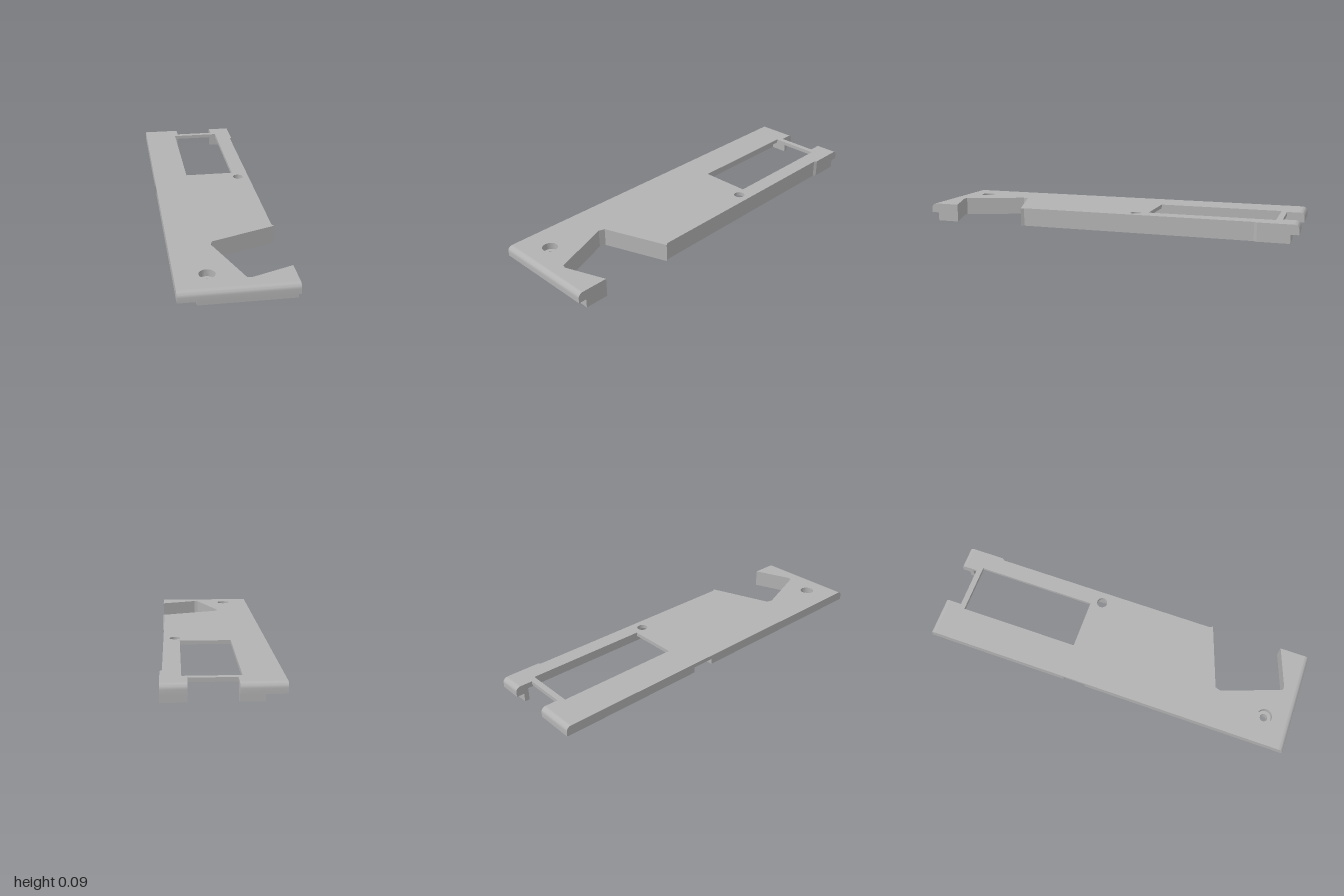
import * as THREE from 'three';
import { toCreasedNormals } from 'three/addons/utils/BufferGeometryUtils.js';

const TOP = 0.095, UNDER = 0.075, LIP = 0.045;

export function createModel() {
  const model = new THREE.Group();
  const grey = new THREE.MeshStandardMaterial({ color: 0xb2b2b2 });
  grey.name = 'plain grey';

  const add = (name, geometry) => {
    const mesh = new THREE.Mesh(geometry, grey);
    mesh.name = name;
    model.add(mesh);
    return mesh;
  };
  const outline = (pts) => new THREE.Shape(pts.map(([a, b]) => new THREE.Vector2(a, b)));
  // Extrude an (x, z) outline between two heights
  const slab = (shape, y0, y1) => {
    const g = new THREE.ExtrudeGeometry(shape, { depth: y1 - y0, bevelEnabled: false, curveSegments: 16 });
    return g.rotateX(Math.PI / 2).translate(0, y1, 0);
  };
  const circle = (x, z, r) => new THREE.Path().absarc(x, z, r, 0, Math.PI * 2, true);

  // Top plate with window, screw hole, pin hole and angled side notch
  const plate = outline([
    [-0.275, -0.975], [-0.07, -0.975], [-0.07, -0.91], [0.15, -0.91], [0.15, -0.975],
    [0.27, -0.975], [0.27, -0.8], [0.26, -0.785], [0.26, 0.44], [0.27, 0.455],
    [-0.06, 0.57], [-0.07, 0.6], [0.045, 0.91], [0.065, 0.915], [0.27, 0.84],
    [0.27, 0.975], [-0.275, 0.975],
  ]);
  plate.holes.push(
    outline([[-0.09, -0.88], [-0.09, -0.23], [0.175, -0.23], [0.175, -0.88]]),
    circle(0.2, -0.17, 0.028),
    circle(-0.125, 0.86, 0.038),
  );
  add('topPlate', slab(plate, UNDER, TOP));

  // Skirt wall: outer x, outer z, inner x, inner z
  const rim = [
    [0.15, -0.96, 0.15, -0.935], [0.27, -0.96, 0.24, -0.935], [0.27, -0.8, 0.24, -0.8],
    [0.26, -0.785, 0.24, -0.785], [0.26, 0.44, 0.24, 0.43], [0.27, 0.455, 0.24, 0.443],
    [-0.06, 0.57, -0.073, 0.554], [-0.07, 0.6, -0.092, 0.6], [0.045, 0.91, 0.03, 0.925],
    [0.065, 0.915, 0.062, 0.937], [0.27, 0.84, 0.25, 0.868], [0.27, 0.96, 0.25, 0.94],
    [-0.183, 0.96, -0.163, 0.94], [-0.183, -0.96, -0.163, -0.935], [-0.07, -0.96, -0.07, -0.935],
  ];
  const ribbon = [
    ...rim.map((p) => [p[0], p[1]]),
    ...rim.map((p) => [p[2], p[3]]).reverse(),
  ];
  add('skirtWall', slab(outline(ribbon), 0, UNDER));

  // Side ledge outside the skirt, with a small latch notch
  add('sideLedge', slab(outline([
    [-0.275, -0.96], [-0.183, -0.96], [-0.183, 0.96], [-0.275, 0.96],
    [-0.275, -0.1], [-0.23, -0.1], [-0.23, -0.22], [-0.275, -0.22],
  ]), LIP, UNDER));

  // Rounded end lips
  const lip = (name, side, x0, x1) => {
    const r = 0.025;
    const pts = [[0.975, UNDER], [0.96, UNDER], [0.96, LIP], [1, LIP]];
    for (let i = 0; i <= 6; i++) {
      const a = (i / 6) * Math.PI / 2;
      pts.push([1 - r + r * Math.cos(a), TOP - r + r * Math.sin(a)]);
    }
    const shape = outline(pts.map(([z, y]) => [z * side, y]));
    const g = new THREE.ExtrudeGeometry(shape, { depth: x1 - x0, bevelEnabled: false });
    add(name, toCreasedNormals(g.rotateY(-Math.PI / 2).translate(x1, 0, 0), 0.5));
  };
  lip('frontLip', 1, -0.275, 0.27);
  lip('backLipRight', -1, -0.275, -0.07);
  lip('backLipLeft', -1, 0.15, 0.27);

  // Screw boss with a countersunk seat
  const boss = [[0.02, 0.015], [0.05, 0.015], [0.05, 0.076], [0.038, 0.076], [0.038, 0.06], [0.02, 0.06], [0.02, 0.015]];
  const bossGeometry = new THREE.LatheGeometry(boss.map(([r, y]) => new THREE.Vector2(r, y)), 32);
  add('screwBoss', toCreasedNormals(bossGeometry, 0.5)).position.set(-0.125, 0, 0.86);

  return model;
}
